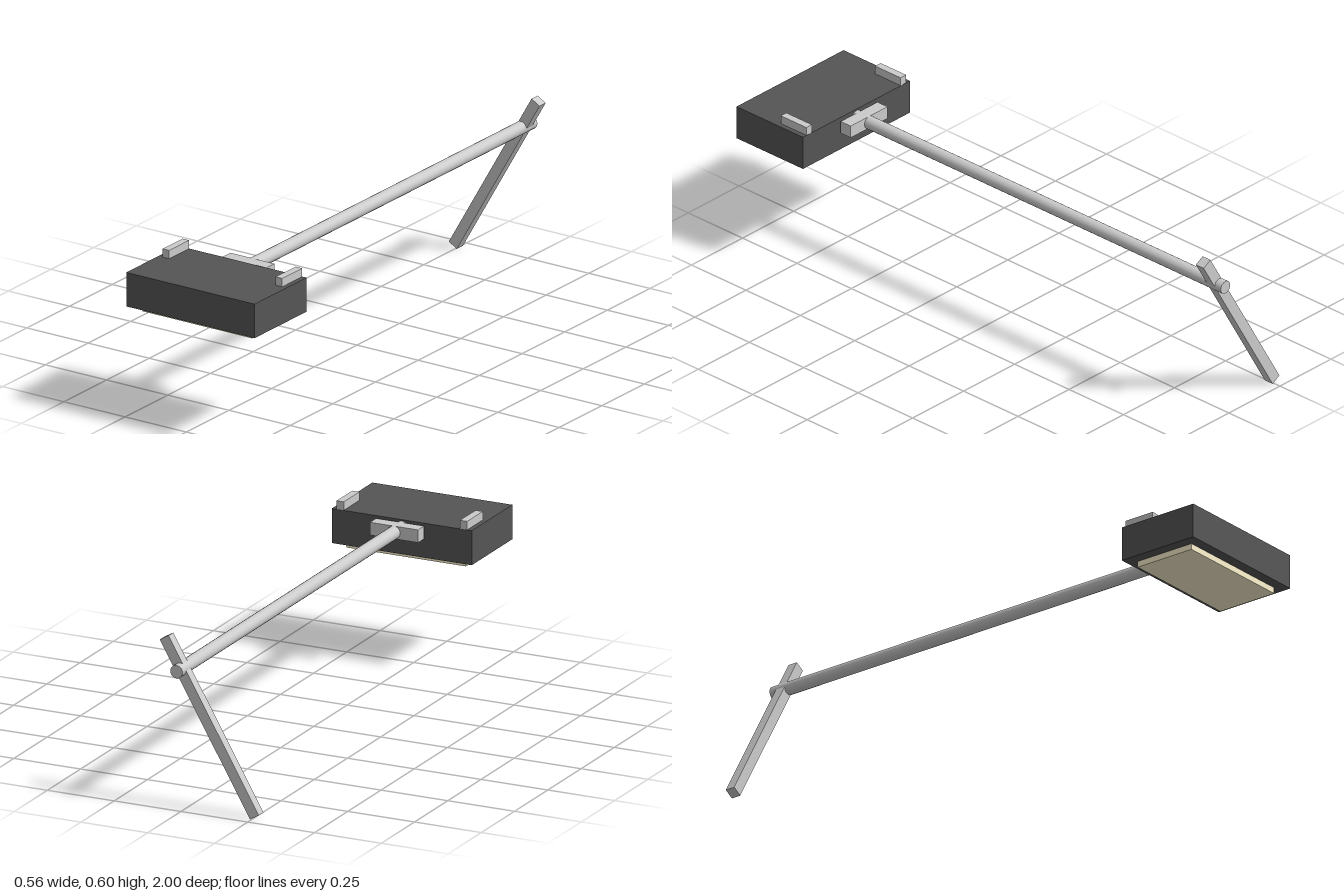
import * as THREE from 'three';

const CX = 0.017; // centre line of head and pole

export function createModel() {
  const group = new THREE.Group();
  const grey = new THREE.MeshStandardMaterial({ color: 0xcccccc });
  const dark = new THREE.MeshStandardMaterial({ color: 0x555555 });
  const cream = new THREE.MeshStandardMaterial({ color: 0xfff5d0 });

  const add = (name, geometry, material, x, y, z) => {
    const mesh = new THREE.Mesh(geometry, material);
    mesh.name = name;
    mesh.position.set(x, y, z);
    group.add(mesh);
    return mesh;
  };
  const box = (name, material, w, h, d, x, y, z) =>
    add(name, new THREE.BoxGeometry(w, h, d), material, x, y, z);

  // Lamp head with the light panel underneath
  box('lampHead', dark, 0.524, 0.122, 0.305, CX, 0.459, 0.8475);
  box('lightPanel', cream, 0.447, 0.03, 0.23, CX + 0.001, 0.392, 0.846);

  // Clips sunk into the top rear corners of the head
  for (const side of [-1, 1]) {
    const name = side > 0 ? 'leftClip' : 'rightClip';
    box(name, grey, 0.027, 0.12, 0.117, CX + side * 0.231, 0.49, 0.7545);
  }

  // Bracket behind the head
  box('bracket', grey, 0.18, 0.045, 0.046, CX, 0.492, 0.66);

  // Long round pole
  const pole = add('pole', new THREE.CylinderGeometry(0.023, 0.023, 1.71, 20), grey, CX, 0.492, -0.145);
  pole.rotation.x = Math.PI / 2;

  // Slanted bar across the rear end of the pole
  const bar = box('crossBar', grey, 0.038, 0.676, 0.036, -0.092, 0.303, -0.954);
  bar.rotation.z = -Math.PI / 6;

  return group;
}
